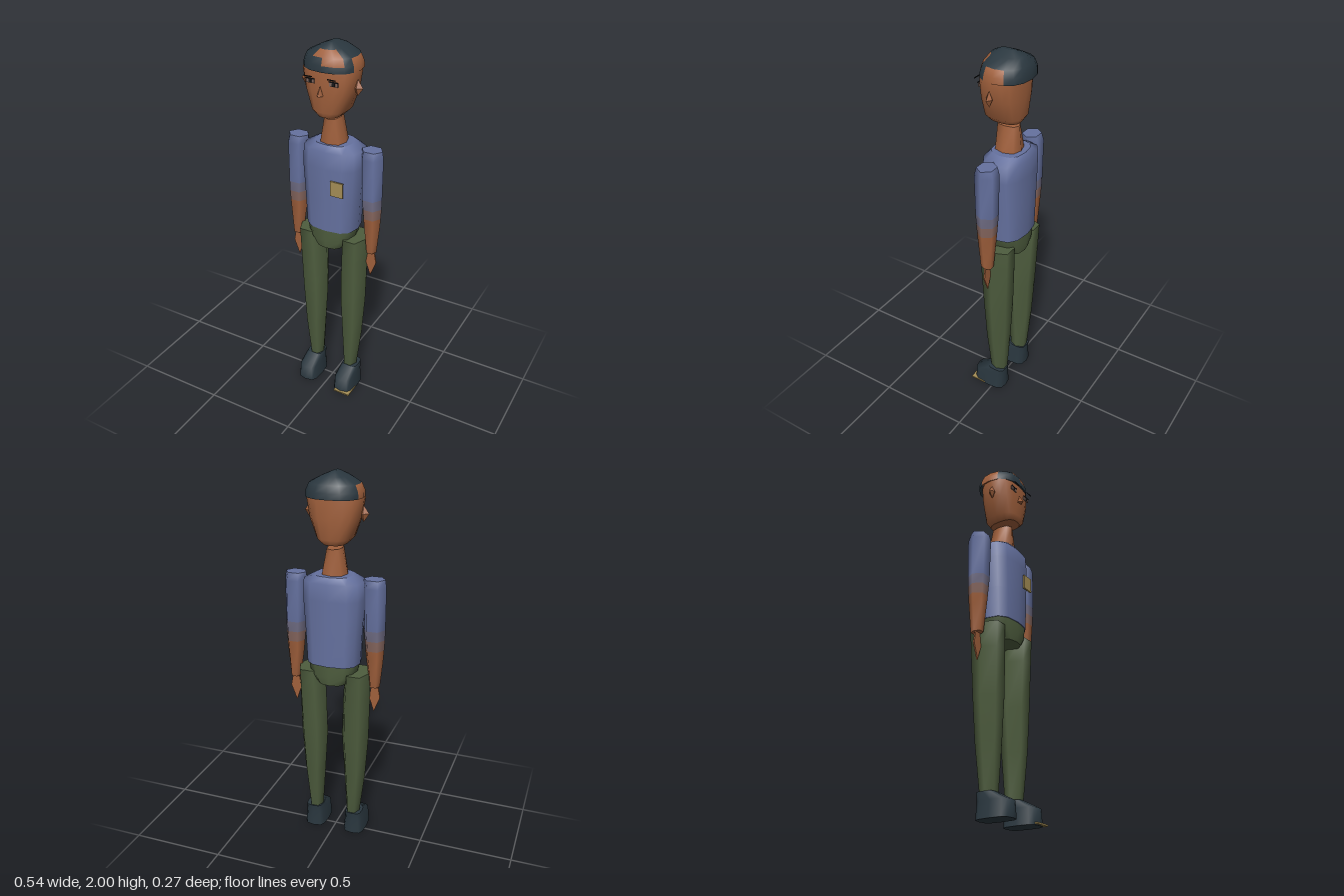
import * as THREE from 'three';

const mat = (name, color) => {
  const m = new THREE.MeshStandardMaterial({ color });
  m.name = name;
  return m;
};

// Lofts rings [y, rx, rz, cx, cz] (bottom to top) into a smooth capped body.
// p is the roundness (2 = ellipse, higher = boxier); pick(row, side) gives a material index.
function loft(rings, n, p = 2, pick = () => 0) {
  const pos = [], buckets = [];
  const bend = v => Math.sign(v) * Math.abs(v) ** (2 / p);
  const addRing = ([y, rx, rz, cx, cz]) => {
    const start = pos.length / 3;
    for (let j = 0; j < n; j++) {
      const a = (j / n) * Math.PI * 2;
      pos.push(cx + rx * bend(Math.cos(a)), y, cz + rz * bend(Math.sin(a)));
    }
    return start;
  };
  const face = (m, ...ids) => (buckets[m] ??= []).push(...ids);
  rings.forEach(addRing);
  for (let i = 0; i < rings.length - 1; i++) {
    for (let j = 0; j < n; j++) {
      const a = i * n + j, b = i * n + (j + 1) % n;
      face(pick(i, j), a, a + n, b, a + n, b + n, b);
    }
  }
  // Caps have their own vertices so that their rims stay crisp
  for (const top of [false, true]) {
    const row = top ? rings.length - 1 : 0;
    const r = rings[row], s = addRing(r), c = pos.length / 3;
    pos.push(r[3], r[0], r[4]);
    for (let j = 0; j < n; j++) {
      const a = s + j, b = s + (j + 1) % n;
      face(pick(top ? row - 1 : 0, j), c, top ? b : a, top ? a : b);
    }
  }
  const g = new THREE.BufferGeometry(), index = [];
  buckets.forEach((ids, m) => {
    g.addGroup(index.length, ids.length, m);
    index.push(...ids);
  });
  g.setAttribute('position', new THREE.Float32BufferAttribute(pos, 3));
  g.setIndex(index);
  g.computeVertexNormals();
  return g;
}

export function createModel() {
  const model = new THREE.Group();
  const shirt = mat('shirt blue', 0x65719f);
  const fadeUpper = mat('sleeve fade upper', 0x706d84);
  const fadeLower = mat('sleeve fade lower', 0x87675f);
  const skin = mat('skin brown', 0xa0603c);
  const trousers = mat('trousers green', 0x4e5d3e);
  const dark = mat('hair and shoe dark', 0x2a373f);
  const gold = mat('badge gold', 0xa58e56);
  const eyeTone = mat('eye grey', 0x80665c);
  const ink = mat('brow and pupil black', 0x17181a);

  const add = (name, geometry, material, x = 0, y = 0, z = 0) => {
    const m = new THREE.Mesh(geometry, material);
    m.name = name;
    m.position.set(x, y, z);
    model.add(m);
    return m;
  };
  const box = (w, h, d) => new THREE.BoxGeometry(w, h, d);

  // Torso, hips and neck
  add('torso', loft([
    [1.03, 0.14, 0.108, 0, -0.018],
    [1.2, 0.148, 0.111, 0, -0.018],
    [1.38, 0.16, 0.113, 0, -0.018],
    [1.47, 0.157, 0.11, 0, -0.022],
    [1.5, 0.1, 0.085, 0, -0.022],
  ], 12, 2.7), [shirt]);
  add('hips', loft([
    [0.92, 0.08, 0.095, 0, -0.015],
    [0.965, 0.12, 0.1, 0, -0.015],
    [1.035, 0.137, 0.1, 0, -0.015],
  ], 12, 2.7), [trousers]);
  add('neck', loft([
    [1.485, 0.07, 0.068, 0, -0.015],
    [1.63, 0.038, 0.06, 0, -0.01],
  ], 8, 2.6), [skin]);
  add('badge', box(0.07, 0.08, 0.009), [gold, gold, gold, gold, gold, gold], 0.075, 1.29, 0.098);

  // Head
  add('head', loft([
    [1.65, 0.058, 0.082, 0, 0.005],
    [1.68, 0.09, 0.1, 0, 0.003],
    [1.78, 0.127, 0.104, 0, 0.002],
    [1.87, 0.142, 0.104, 0, 0.002],
    [1.92, 0.125, 0.095, 0, 0],
  ], 16, 2.6), [skin]);

  // Hair cap with a bare patch on the forehead and bare temples
  const bare = (row, side) => {
    const temple = row < 2 && [0, 15, 7, 8].includes(side);
    const forehead = (row === 1 && (side === 2 || side === 3)) ||
      (row === 2 && side >= 2 && side <= 4);
    return temple || forehead ? 1 : 0;
  };
  add('hair', loft([
    [1.88, 0.144, 0.124, 0, -0.01],
    [1.91, 0.142, 0.122, 0, -0.01],
    [1.945, 0.126, 0.11, 0, -0.01],
    [1.978, 0.064, 0.085, 0, -0.008],
    [2.0, 0.012, 0.036, 0, -0.005],
  ], 16, 2.3, bare), [dark, skin]);

  // Nose
  const nose = new THREE.ConeGeometry(0.018, 0.05, 4);
  nose.scale(0.9, 1, 1.4);
  add('nose', nose, skin, -0.008, 1.79, 0.108);

  for (const s of [1, -1]) {
    const side = s > 0 ? 'left' : 'right';

    // Ears, eyes and brows
    const ear = new THREE.OctahedronGeometry(1);
    ear.scale(0.028, 0.04, 0.018);
    add(side + 'Ear', ear, skin, s * 0.138, 1.8, 0.01);
    add(side + 'Eye', box(0.045, 0.02, 0.006), eyeTone, s * 0.062, 1.83, 0.104);
    add(side + 'Pupil', box(0.015, 0.016, 0.006), ink, s * 0.062, 1.83, 0.106);
    add(side + 'UpperLid', box(0.047, 0.004, 0.006), ink, s * 0.062, 1.841, 0.107);
    add(side + 'Brow', box(0.042, 0.005, 0.003), ink, s * 0.062, 1.858, 0.126);

    // Arm: blue sleeve fading to a bare forearm
    add(side + 'Arm', loft([
      [0.915, 0.028, 0.034, s * 0.22, -0.018],
      [1.06, 0.045, 0.045, s * 0.217, -0.018],
      [1.12, 0.05, 0.05, s * 0.216, -0.018],
      [1.175, 0.054, 0.054, s * 0.215, -0.018],
      [1.23, 0.057, 0.057, s * 0.213, -0.018],
      [1.45, 0.06, 0.061, s * 0.21, -0.018],
      [1.49, 0.056, 0.048, s * 0.208, -0.018],
    ], 6, 2, row => [0, 0, 1, 2, 3, 3][row]), [skin, fadeLower, fadeUpper, shirt]);

    // Hand: a flat diamond
    const hand = new THREE.Shape([[0.205, 0.93], [0.192, 0.845], [0.218, 0.768], [0.25, 0.85], [0.235, 0.93]]
      .map(([x, y]) => new THREE.Vector2(s * x, y)));
    const palm = new THREE.ExtrudeGeometry(hand, { depth: 0.008, bevelEnabled: false });
    add(side + 'Hand', palm, skin, 0, 0, -0.02);

    // Leg
    add(side + 'Leg', loft([
      [0.12, 0.037, 0.048, s * 0.108, -0.015],
      [0.37, 0.06, 0.068, s * 0.115, -0.016],
      [0.6, 0.075, 0.08, s * 0.116, -0.017],
      [0.85, 0.074, 0.092, s * 0.122, -0.018],
      [0.985, 0.068, 0.098, s * 0.128, -0.018],
    ], 6), [trousers]);

    // Shoe
    add(side + 'Shoe', loft([
      [0, 0.06, 0.095, s * 0.115, 0.03],
      [0.085, 0.053, 0.092, s * 0.115, 0.03],
      [0.13, 0.046, 0.05, s * 0.115, -0.015],
    ], 12, 3.4), [dark]);
  }

  // Welt showing under the left toe
  add('leftSole', box(0.095, 0.008, 0.09), gold, 0.128, 0.008, 0.09);

  return model;
}
